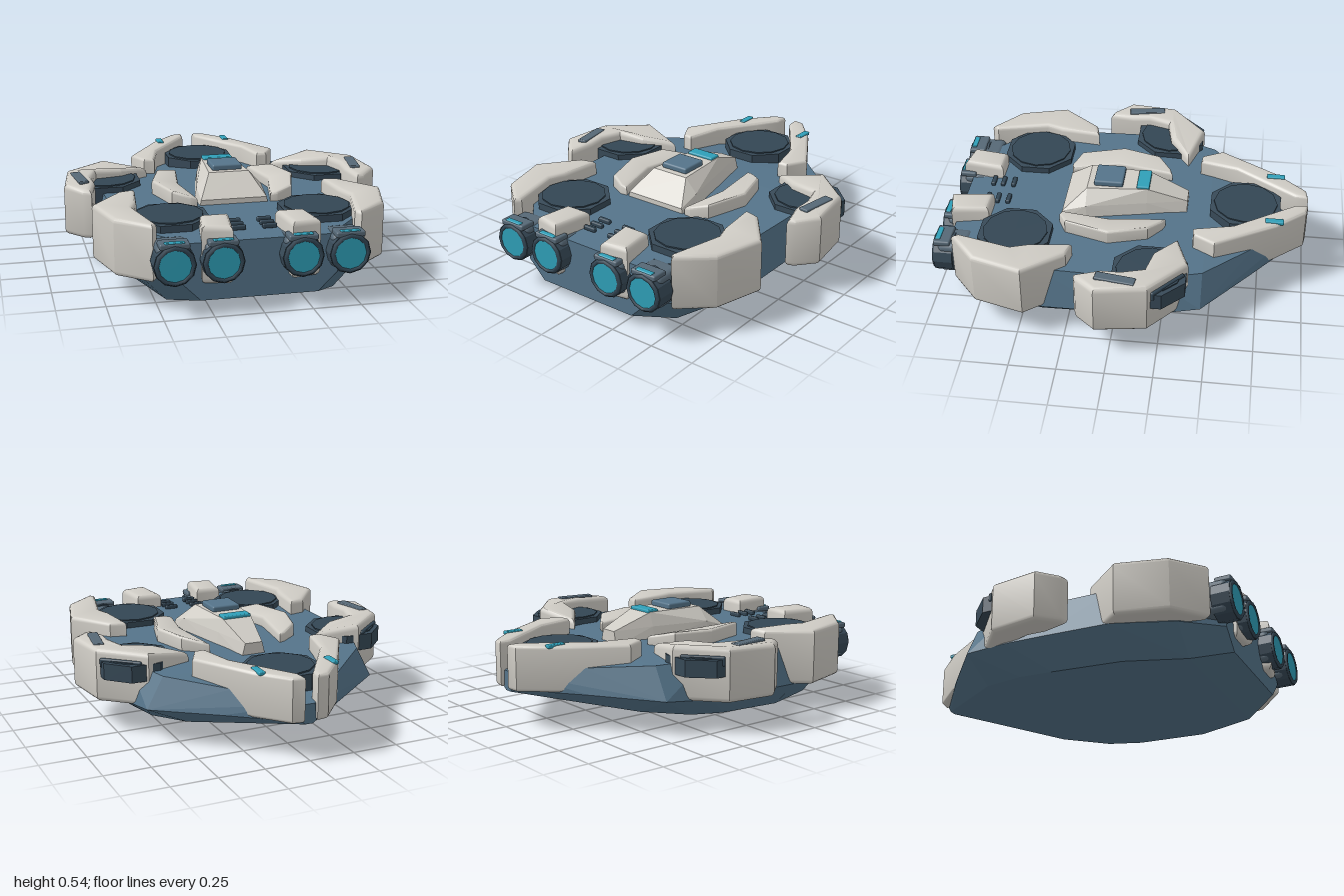
import * as THREE from 'three';
import { toCreasedNormals } from 'three/addons/utils/BufferGeometryUtils.js';
import { ConvexGeometry } from 'three/addons/geometries/ConvexGeometry.js';
import { RoundedBoxGeometry } from 'three/addons/geometries/RoundedBoxGeometry.js';

const paint = (color, flatShading = false) => new THREE.MeshStandardMaterial({ color, flatShading });
const HULL = paint(0x55748a, true), ARMOUR = paint(0xcfccc5), CABIN = paint(0xcfccc5, true);
const TRIM = paint(0x566876), DARK = paint(0x334654), DARK_FLAT = paint(0x384a58, true);
const GLOW = paint(0x2f9fb8);

export function createModel() {
  const ship = new THREE.Group();
  ship.name = 'ship';

  const add = (name, geometry, material, x = 0, y = 0, z = 0, turn = 0) => {
    const mesh = new THREE.Mesh(geometry, material);
    mesh.name = name;
    mesh.position.set(x, y, z);
    mesh.rotation.y = turn;
    ship.add(mesh);
    return mesh;
  };
  const box = (name, w, h, d, material, x, y, z, turn) =>
    add(name, new RoundedBoxGeometry(w, h, d, 2, Math.min(w, h, d) * 0.3), material, x, y, z, turn);

  // Armour plate: plan outline [x, z] raised from y0 to y1 with rounded edges
  const plate = (name, plan, side, y0, y1, bevel, slope) => {
    const shape = new THREE.Shape(plan.map(([x, z]) => new THREE.Vector2(x * side, -z)));
    let g = new THREE.ExtrudeGeometry(shape, {
      depth: y1 - y0 - 2 * bevel, bevelThickness: bevel, bevelSize: bevel, bevelOffset: -bevel, bevelSegments: 3,
    });
    g.rotateX(-Math.PI / 2).translate(0, y0 + bevel, 0);
    if (slope) {
      const p = g.attributes.position;
      for (let i = 0; i < p.count; i++) {
        if (p.getY(i) > (y0 + y1) / 2) p.setY(i, p.getY(i) - slope(Math.abs(p.getX(i)), p.getZ(i)));
      }
    }
    add(name, toCreasedNormals(g, 0.6), ARMOUR);
  };

  // Hull stations: z, then half width and height of the belly, rim and deck
  const stations = [
    [0.91, 0.30, 0.06, 0.40, 0.16, 0.36, 0.36],
    [0.72, 0.44, 0.005, 0.58, 0.15, 0.54, 0.37],
    [0.40, 0.55, 0.01, 0.70, 0.155, 0.65, 0.372],
    [0.00, 0.56, 0.03, 0.71, 0.165, 0.66, 0.374],
    [-0.20, 0.54, 0.05, 0.71, 0.17, 0.66, 0.374],
    [-0.46, 0.44, 0.09, 0.66, 0.19, 0.57, 0.36],
    [-0.72, 0.21, 0.145, 0.36, 0.205, 0.30, 0.335],
    [-0.98, 0.02, 0.195, 0.04, 0.21, 0.03, 0.30],
  ];
  const hullPoints = [];
  for (const [z, ...ring] of stations) {
    for (let i = 0; i < 6; i += 2) {
      for (const s of [-1, 1]) hullPoints.push(new THREE.Vector3(s * ring[i], ring[i + 1], z));
    }
  }
  add('hull', new ConvexGeometry(hullPoints), HULL);

  // Cabin: base and shoulder outlines with a narrow roof
  const cabinPoints = [];
  for (const [x, y, z] of [
    [0.19, 0.35, 0.34], [0.18, 0.40, 0.34], [0.18, 0.44, 0.21], [0.19, 0.35, 0.2],
    [0.11, 0.515, 0.21], [0.085, 0.515, -0.12], [0.11, 0.44, -0.12], [0.125, 0.35, -0.12],
    [0.05, 0.43, -0.34], [0.07, 0.35, -0.34],
  ]) for (const s of [-1, 1]) cabinPoints.push(new THREE.Vector3(s * x, y, z));
  add('cabin', new ConvexGeometry(cabinPoints), CABIN);
  box('roofHatch', 0.165, 0.035, 0.16, TRIM.clone(), 0, 0.528, 0.095).material.color.set(0x55748a);
  box('roofWindow', 0.165, 0.024, 0.07, GLOW, 0, 0.516, -0.095);

  // Round deck pads: octagonal rim with a darker disc
  const pad = (x, z) => {
    add('padRim', new THREE.CylinderGeometry(0.208, 0.208, 0.09, 8), DARK_FLAT, x, 0.36, z, Math.PI / 8);
    add('padDisc', new THREE.CylinderGeometry(0.175, 0.175, 0.02, 12), DARK, x, 0.402, z);
  };
  pad(0, -0.66);

  const frontPlan = [[0.52, 0.23], [0.61, 0.25], [0.775, 0.46], [0.70, 0.73], [0.53, 0.875], [0.505, 0.84], [0.575, 0.55], [0.545, 0.46]];
  const midPlan = [[0.62, -0.39], [0.37, -0.315], [0.53, -0.2], [0.68, -0.17], [0.715, -0.05], [0.71, 0.05], [0.745, 0.19], [0.79, 0.175], [0.88, 0.07], [0.84, -0.2]];
  const rearPlan = [[0.035, -1], [0.1, -0.99], [0.24, -0.83], [0.43, -0.51], [0.37, -0.395], [0.31, -0.39], [0.26, -0.6], [0.12, -0.81], [0.04, -0.93]];
  const innerPlan = [[0.21, -0.235], [0.25, -0.22], [0.34, -0.15], [0.40, 0.06], [0.33, 0.30], [0.24, 0.345], [0.20, 0.34], [0.255, 0.08]];
  const bracketPlan = [[0.12, 0.73], [0.27, 0.73], [0.3, 0.93], [0.15, 0.96]];

  for (const s of [-1, 1]) {
    pad(s * 0.39, 0.56);
    pad(s * 0.63, -0.19);

    plate('frontArmour', frontPlan, s, 0.155, 0.455, 0.024);
    plate('midArmour', midPlan, s, 0.175, 0.465, 0.028, (x, z) => Math.max(0, 0.6 - x) * 0.2 + Math.max(0, z) * 0.1);
    plate('rearArmour', rearPlan, s, 0.21, 0.452, 0.018);
    plate('innerArmour', innerPlan, s, 0.34, 0.45, 0.015, (x, z) => Math.max(0, 0.33 - x) * 0.25);
    plate('thrusterBracket', bracketPlan, s, 0.15, 0.45, 0.03);

    // Inset strips on the armour
    box('midArmourStrip', 0.055, 0.02, 0.21, TRIM, s * 0.785, 0.46, -0.03, s * -0.15);
    box('midArmourSlot', 0.23, 0.05, 0.03, DARK, s * 0.735, 0.395, -0.29, s * -0.71);
    box('rearArmourLight', 0.036, 0.02, 0.1, GLOW, s * 0.205, 0.45, -0.82);

    // Deck vents
    for (const z of [0.66, 0.72, 0.775]) box('deckVent', 0.075, 0.025, 0.024, DARK, s * 0.08, 0.38, z);

    // Thrusters
    for (const x of [0.2, 0.44]) {
      const ring = new THREE.CylinderGeometry(0.106, 0.106, 0.1, 12).rotateX(Math.PI / 2);
      add('thrusterRing', ring, DARK_FLAT, s * x, 0.275, 0.932);
      add('thrusterLip', new THREE.TorusGeometry(0.09, 0.014, 6, 12), DARK, s * x, 0.275, 0.98);
      add('thrusterGlow', new THREE.CylinderGeometry(0.083, 0.083, 0.02, 12).rotateX(Math.PI / 2), GLOW, s * x, 0.275, 0.978);
      add('thrusterHousing', new RoundedBoxGeometry(0.17, 0.18, 0.17, 2, 0.03), TRIM, s * x, 0.28, 0.88);
      box('thrusterCap', 0.15, 0.03, 0.09, TRIM, s * x, 0.372, 0.94);
      box('thrusterLight', 0.1, 0.018, 0.03, GLOW, s * x, 0.383, 0.965);
    }
  }
  return ship;
}
